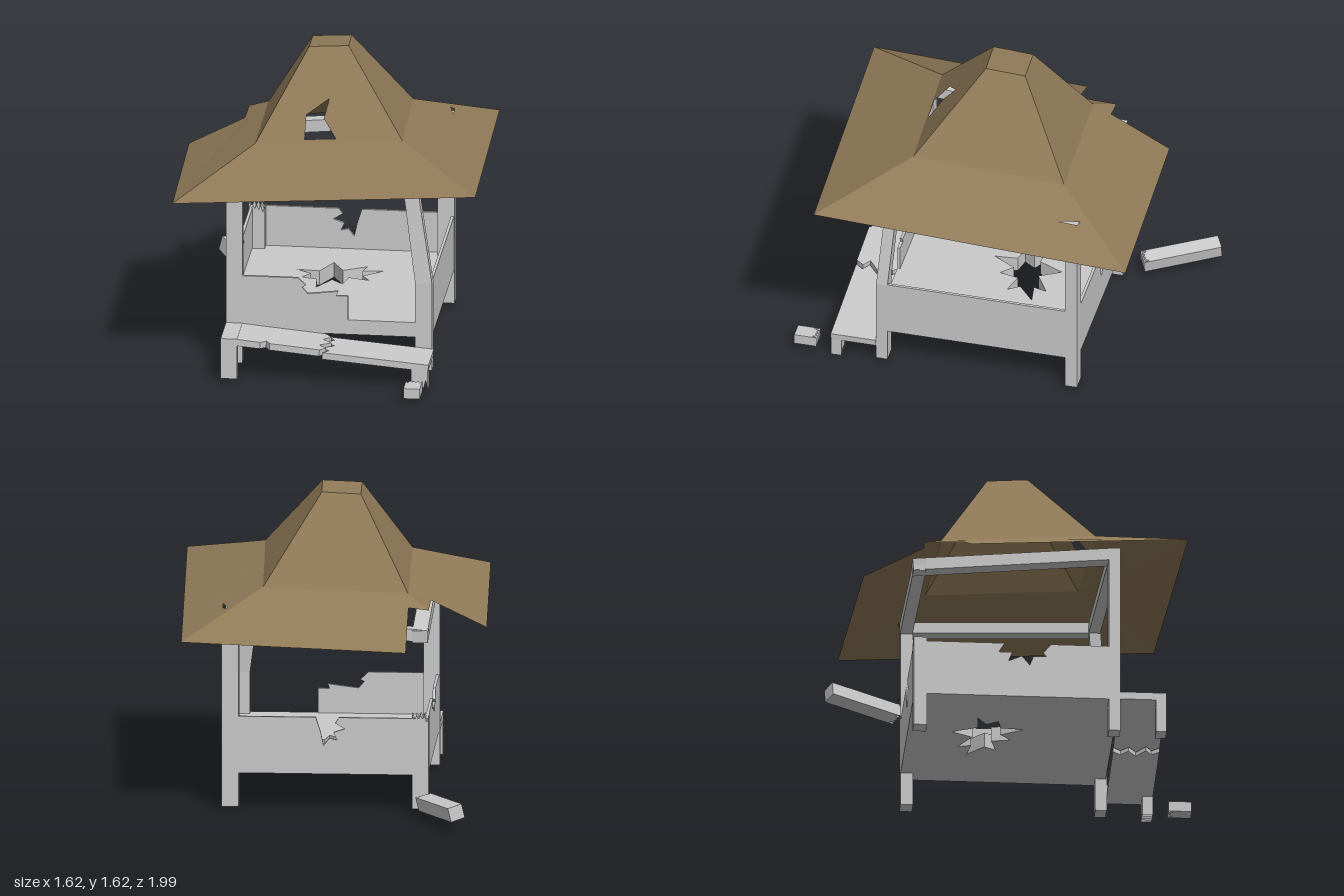
import * as THREE from 'three';

export function createModel() {
  const model = new THREE.Group();
  const stone = new THREE.MeshStandardMaterial({ color: 0xcacaca });
  stone.name = 'pale grey';
  const thatch = new THREE.MeshStandardMaterial({ color: 0x907a58, side: THREE.DoubleSide });
  thatch.name = 'roof brown';

  const add = (name, geo, mat = stone) => {
    const mesh = new THREE.Mesh(geo, mat);
    mesh.name = name;
    model.add(mesh);
    return mesh;
  };
  const shapeOf = (pts) => new THREE.Shape(pts.map(([x, y]) => new THREE.Vector2(x, y)));
  const extrude = (pts, depth, hole) => {
    const s = shapeOf(pts);
    if (hole) s.holes.push(shapeOf(hole));
    return new THREE.ExtrudeGeometry(s, { depth, bevelEnabled: false });
  };
  // box given by its limits
  const block = (name, x0, x1, y0, y1, z0, z1) =>
    add(name, new THREE.BoxGeometry(x1 - x0, y1 - y0, z1 - z0))
      .position.set((x0 + x1) / 2, (y0 + y1) / 2, (z0 + z1) / 2);
  // straight beam between two points
  const beam = (name, a, b, w, h) => {
    const p = new THREE.Vector3(...a), q = new THREE.Vector3(...b);
    const m = add(name, new THREE.BoxGeometry(w, h, p.distanceTo(q)));
    m.position.copy(p).add(q).multiplyScalar(0.5);
    m.lookAt(q);
  };
  // upright bar with a splintered top, standing on its own origin
  const splinteredBar = (name, w, d, len, tooth) => {
    const pts = [[-w / 2, 0], [w / 2, 0]];
    for (let i = 0; i <= 8; i++) {
      pts.push([w / 2 - (w * i) / 8, len - (i % 2 ? tooth * (0.7 + 0.3 * Math.sin(i * 2)) : 0)]);
    }
    const g = extrude(pts, d);
    g.translate(0, 0, -d / 2);
    return add(name, g);
  };

  // floor slab with a splintered hole
  const floor = extrude(
    [[-0.515, -0.505], [0.54, -0.505], [0.54, 0.55], [-0.515, 0.55]], 0.08,
    [[-0.24, -0.16], [-0.12, -0.15], [-0.06, -0.28], [0.0, -0.17], [0.12, -0.24], [0.1, -0.17],
      [0.21, -0.185], [0.11, -0.1], [0.15, -0.04], [0.04, -0.07], [0.02, 0.03], [-0.04, -0.03],
      [-0.11, 0.09], [-0.12, -0.03], [-0.2, -0.05], [-0.16, -0.11]]);
  floor.rotateX(Math.PI / 2).translate(0, 0.28, 0);
  add('floor', floor);

  // low walls, three of them broken along the top
  const T = 0.015;
  add('frontWall', extrude([[-0.5, 0.2], [0.52, 0.2], [0.52, 0.28], [0.11, 0.28], [0.11, 0.41],
    [0.05, 0.41], [0.06, 0.435], [-0.1, 0.415], [-0.13, 0.45], [-0.11, 0.46], [-0.15, 0.5],
    [-0.5, 0.5]], T)).position.z = 0.54;
  add('backWall', extrude([[-0.5, 0.2], [0.52, 0.2], [0.52, 0.5], [0.06, 0.5], [0.035, 0.42],
    [0.02, 0.35], [-0.01, 0.39], [-0.05, 0.38], [-0.03, 0.42], [-0.09, 0.44], [-0.04, 0.47],
    [-0.06, 0.5], [-0.5, 0.5]], T)).position.z = -0.51;
  const side = (name, pts, x) => {
    add(name, extrude(pts, T).rotateY(-Math.PI / 2)).position.x = x;
  };
  side('rightWall', [[-0.5, 0.2], [0.55, 0.2], [0.55, 0.5], [-0.5, 0.5]], 0.545);
  side('leftWall', [[-0.5, 0.2], [0.55, 0.2], [0.55, 0.5], [0.2, 0.5], [0.16, 0.45], [0.18, 0.43],
    [0.11, 0.43], [0.09, 0.38], [0.05, 0.43], [-0.02, 0.4], [0.0, 0.45], [-0.07, 0.45],
    [-0.04, 0.5], [-0.5, 0.5]], -0.505);

  // corner posts: two whole, one leaning, one snapped
  block('frontLeftPost', -0.525, -0.44, 0.02, 1.06, 0.5, 0.56);
  block('backRightPost', 0.46, 0.548, 0.02, 1.06, -0.51, -0.445);
  block('frontRightPostBase', 0.46, 0.548, 0.02, 0.5, 0.5, 0.56);
  const lean = new THREE.BoxGeometry(0.088, 0.56, 0.06);
  const lp = lean.attributes.position;
  for (let i = 0; i < lp.count; i++) {
    if (lp.getY(i) > 0) {
      lp.setX(i, lp.getX(i) * 0.85 - 0.08);
      lp.setZ(i, lp.getZ(i) - 0.04);
    }
  }
  lean.computeVertexNormals();
  add('frontRightPostLeaning', lean).position.set(0.504, 0.78, 0.53);
  const stump = splinteredBar('backLeftStump', 0.085, 0.07, 0.5, 0.04);
  stump.position.set(-0.482, 0.02, -0.477);

  // top beams, sagging towards the snapped post
  beam('frontBeam', [-0.48, 1.03, 0.53], [0.43, 1.03, 0.49], 0.06, 0.06);
  beam('rightBeam', [0.5, 1.03, -0.48], [0.43, 1.03, 0.5], 0.07, 0.06);
  beam('backBeam', [0.5, 1.03, -0.48], [-0.52, 0.935, -0.48], 0.065, 0.065);
  beam('leftBeam', [-0.48, 1.03, 0.53], [-0.48, 0.935, -0.515], 0.08, 0.065);

  // fallen pieces
  const base = new THREE.Vector3(-0.695, 0.107, -0.965), tip = new THREE.Vector3(-0.505, 0.08, -0.6);
  const log = splinteredBar('fallenPost', 0.08, 0.075, base.distanceTo(tip), 0.03);
  log.position.copy(base);
  log.quaternion.setFromUnitVectors(new THREE.Vector3(0, 1, 0), tip.sub(base).normalize());
  log.rotateY(0.25);
  const foot = splinteredBar('fallenBenchFoot', 0.085, 0.055, 0.12, 0.03);
  foot.position.set(0.493, 0.052, 1);
  foot.rotation.x = -Math.PI / 2;

  // cracked, slanting bench
  const plank = (name, pts, y, slope) => {
    const m = add(name, extrude(pts, 0.036).rotateX(Math.PI / 2));
    m.position.y = y;
    m.rotation.z = -slope;
  };
  plank('benchPlankLeft', [[-0.45, 0.56], [0.0, 0.56], [0.03, 0.6], [-0.01, 0.64], [0.04, 0.68],
    [-0.02, 0.73], [0.02, 0.76], [-0.01, 0.8], [-0.27, 0.8], [-0.29, 0.77], [-0.32, 0.8],
    [-0.45, 0.8]], 0.199, 0.09);
  plank('benchPlankRight', [[0.015, 0.56], [0.56, 0.56], [0.56, 0.8], [0.005, 0.8], [0.035, 0.76],
    [-0.005, 0.73], [0.055, 0.68], [0.005, 0.64], [0.045, 0.6]], 0.185, 0.082);
  block('benchEnd', -0.525, -0.44, 0.2, 0.24, 0.56, 0.8);
  block('benchLegLeft', -0.525, -0.44, 0.02, 0.21, 0.745, 0.8);
  const leg = splinteredBar('benchLegRight', 0.088, 0.055, 0.12, 0.05);
  leg.position.set(0.51, 0.125, 0.772);
  leg.rotation.z = Math.PI;

  // roof panels: corners in space, holes in plan laid onto the panel's plane
  const panel = (name, pts, hole = []) => {
    const v = pts.map((p) => new THREE.Vector3(...p));
    const plane = new THREE.Plane().setFromCoplanarPoints(v[0], v[1], v[2]);
    const n = plane.normal;
    const h = hole.map(([x, z]) =>
      new THREE.Vector3(x, -(plane.constant + n.x * x + n.z * z) / n.y, z));
    const flat = (list) => list.map((p) => new THREE.Vector2(p.x, -p.z));
    const faces = THREE.ShapeUtils.triangulateShape(flat(v), h.length ? [flat(h)] : []);
    const all = [...v, ...h];
    const tri = [];
    for (const [a, b, c] of faces) {
      const up = new THREE.Vector3().subVectors(all[b], all[a])
        .cross(new THREE.Vector3().subVectors(all[c], all[a])).y > 0;
      tri.push(all[a], all[up ? b : c], all[up ? c : b]);
    }
    const g = new THREE.BufferGeometry().setFromPoints(tri);
    g.computeVertexNormals();
    add(name, g, thatch);
  };
  const FL = [-0.765, 1.01, 0.895], FR = [0.805, 1.087, 0.83], BR = [0.74, 0.96, -0.815];
  const mFL = [-0.387, 1.19, 0.44], mFR = [0.375, 1.226, 0.405];
  const mBR = [0.34, 1.162, -0.39], mBL = [-0.41, 1.128, -0.36];
  const tFL = [-0.145, 1.612, 0.105], tFR = [0.06, 1.622, 0.095];
  const tBR = [0.052, 1.605, -0.112], tBL = [-0.15, 1.595, -0.105];
  const hip = [-0.522, 1.063, -0.457];

  panel('roofTop', [tFL, tFR, tBR, tBL]);
  panel('upperRoofFront', [mFL, mFR, tFR, tFL],
    [[-0.132, 0.418], [-0.132, 0.335], [-0.02, 0.277], [-0.04, 0.345], [0.03, 0.411]]);
  panel('upperRoofRight', [mFR, mBR, tBR, tFR]);
  panel('upperRoofBack', [mBR, mBL, tBL, tBR]);
  panel('upperRoofLeft', [mBL, mFL, tFL, tBL]);
  panel('lowerRoofFront', [FL, FR, mFR, mFL]);
  panel('lowerRoofRight', [FR, BR, mBR, mFR], [[0.52, -0.52], [0.542, -0.51], [0.545, -0.41]]);
  // the back left corner of the roof is torn away
  panel('lowerRoofBack', [BR, [-0.42, 0.905, -0.765], [-0.417, 1.075, -0.455], hip, mBL, mBR]);
  panel('lowerRoofLeft', [FL, mFL, mBL, hip, [-0.522, 1.07, -0.255], [-0.81, 0.925, -0.232]]);
  return model;
}
